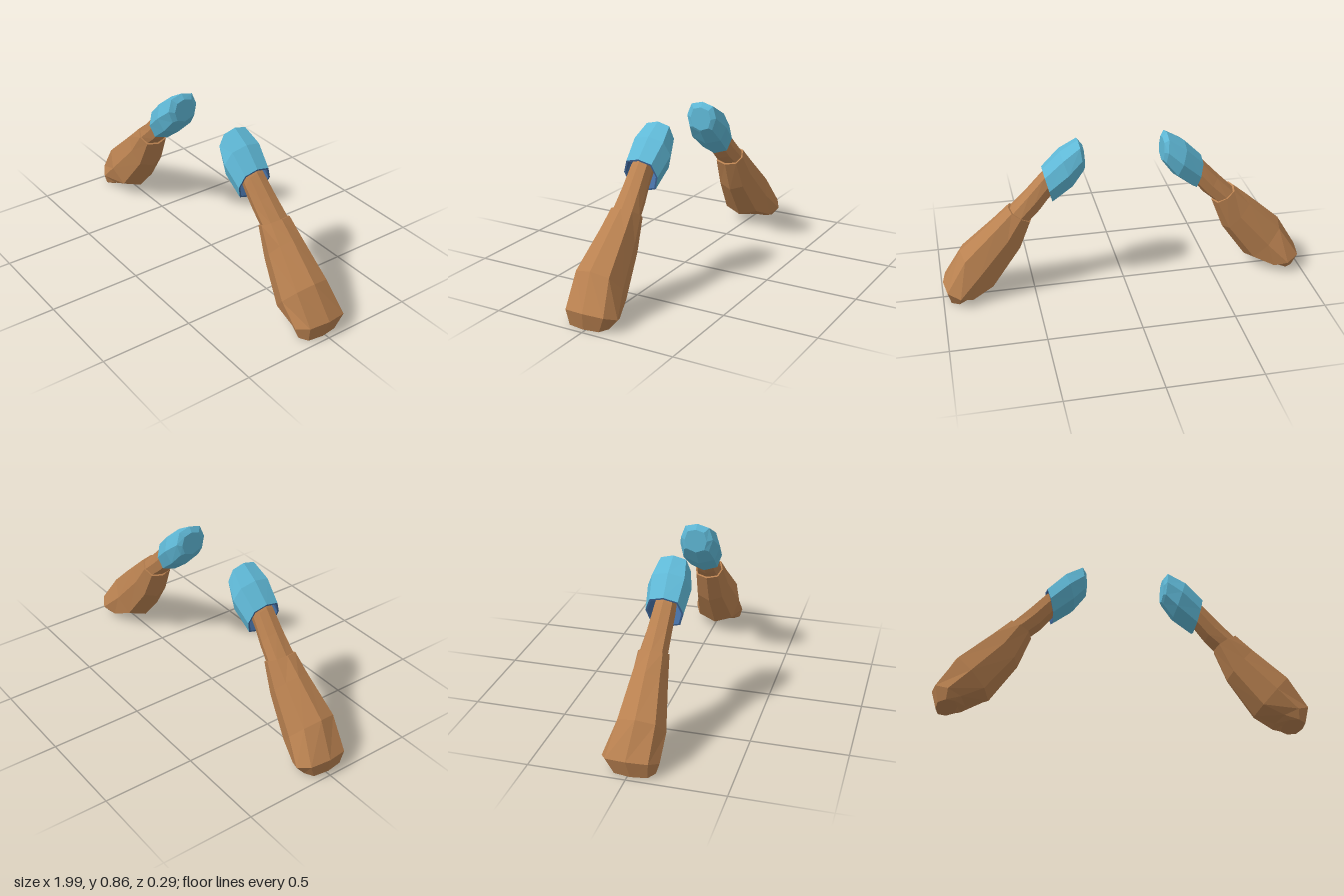
import * as THREE from 'three';

// Octagonal cross-section: [share of the top-bottom axis, share of the z width]
const RING = [[1, 0], [0.8, 0.74], [0.05, 1], [-0.72, 0.78], [-1, 0], [-0.72, -0.78], [0.05, -1], [0.8, -0.74]];

// Section: [topX, topY, bottomX, bottomY, frontZ, backZ]
function loft(sections, side, capStart, capEnd) {
  const pos = [], index = [], n = RING.length;
  const tri = (a, b, c) => (side > 0 ? index.push(a, b, c) : index.push(a, c, b));
  for (const [tx, ty, bx, by, zf, zb] of sections) {
    for (const [u, w] of RING) {
      pos.push(
        side * ((tx + bx) / 2 + (u * (tx - bx)) / 2),
        (ty + by) / 2 + (u * (ty - by)) / 2,
        (zf + zb) / 2 + (w * (zf - zb)) / 2
      );
    }
  }
  for (let i = 0; i < sections.length - 1; i++) {
    for (let j = 0; j < n; j++) {
      const a = i * n + j, b = i * n + ((j + 1) % n);
      tri(a, b, a + n);
      tri(b, b + n, a + n);
    }
  }
  const last = (sections.length - 1) * n;
  for (let j = 1; j < n - 1; j++) {
    if (capStart) tri(0, j + 1, j);
    if (capEnd) tri(last, last + j, last + j + 1);
  }
  const geo = new THREE.BufferGeometry();
  geo.setAttribute('position', new THREE.Float32BufferAttribute(pos, 3));
  geo.setIndex(index);
  const flat = geo.toNonIndexed();
  flat.computeVertexNormals();
  return flat;
}

// Shrinks a section towards its middle
function inset([tx, ty, bx, by, zf, zb], k) {
  const mix = (a, b) => [(a + b) / 2 + (k * (a - b)) / 2, (a + b) / 2 - (k * (a - b)) / 2];
  const [x1, x2] = mix(tx, bx), [y1, y2] = mix(ty, by), [z1, z2] = mix(zf, zb);
  return [x1, y1, x2, y2, z1, z2];
}

const SLEEVE = [
  [0.215, 0.83, 0.21, 0.7, 0.085, -0.04],
  [0.238, 0.857, 0.22, 0.685, 0.115, -0.065],
  [0.335, 0.8, 0.275, 0.61, 0.138, -0.09],
  [0.43, 0.705, 0.385, 0.525, 0.125, -0.073]
];
const LINING = [SLEEVE[3], inset(SLEEVE[3], 0.9), inset(SLEEVE[2], 0.8)];

const FOREARM = [
  [0.345, 0.755, 0.3, 0.65, 0.075, -0.02],
  [0.43, 0.685, 0.4, 0.54, 0.085, -0.033],
  [0.52, 0.59, 0.45, 0.48, 0.085, -0.045],
  [0.612, 0.497, 0.505, 0.434, 0.088, -0.058]
];

const HAND = [
  [0.62, 0.505, 0.498, 0.427, 0.096, -0.066],
  [0.71, 0.43, 0.565, 0.255, 0.11, -0.08],
  [0.89, 0.27, 0.705, 0.055, 0.147, -0.11],
  [0.995, 0.095, 0.82, 0.025, 0.145, -0.147],
  [0.97, 0, 0.86, 0.014, 0.128, -0.1]
];

export function createModel() {
  const model = new THREE.Group();
  const mat = (color) => new THREE.MeshStandardMaterial({ color, flatShading: true });
  const skin = mat(0xb98150), cloth = mat(0x5fb8d6), lining = mat(0x41699c);

  for (const side of [1, -1]) {
    const arm = new THREE.Group();
    arm.name = side > 0 ? 'leftArm' : 'rightArm';
    const add = (name, geo, material) => {
      const mesh = new THREE.Mesh(geo, material);
      mesh.name = name;
      arm.add(mesh);
    };
    // Short sleeve, open at the hem, with a darker inside
    add('sleeve', loft(SLEEVE, side, true, false), cloth);
    add('sleeveLining', loft(LINING, side, false, true), lining);
    // Forearm tucked into the slightly wider hand
    add('forearm', loft(FOREARM, side, true, true), skin);
    add('hand', loft(HAND, side, true, true), skin);
    model.add(arm);
  }
  return model;
}
